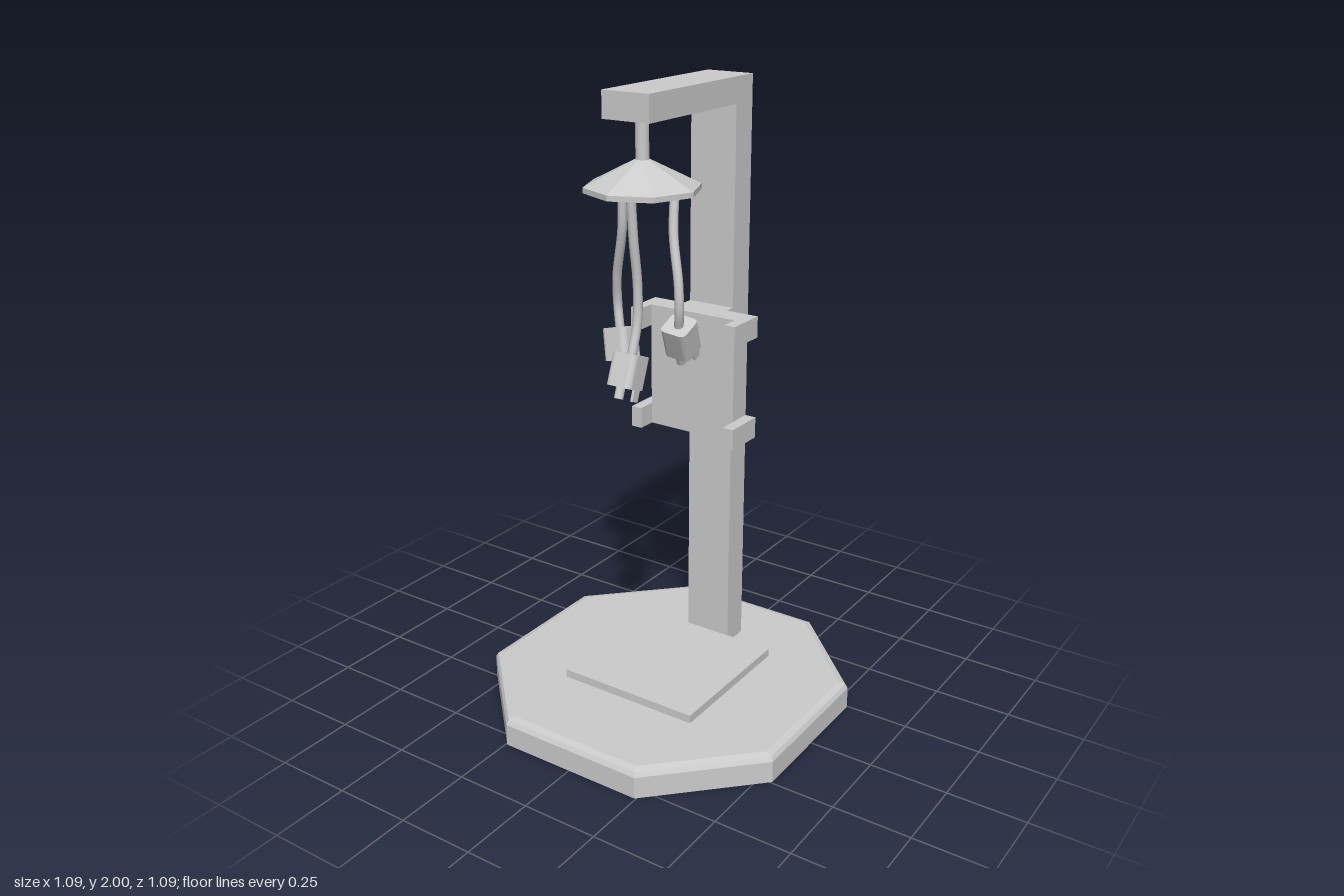
import * as THREE from 'three';
import { ConvexGeometry } from 'three/addons/geometries/ConvexGeometry.js';

const grey = new THREE.MeshStandardMaterial({ color: 0xcccccc });
const flat = new THREE.MeshStandardMaterial({ color: 0xcccccc, flatShading: true });
const V = (x, y, z) => new THREE.Vector3(x, y, z);

function add(parent, name, geometry, material = grey) {
  const mesh = new THREE.Mesh(geometry, material);
  mesh.name = name;
  parent.add(mesh);
  return mesh;
}

// Box given by its minimum and maximum on each axis
function box(parent, name, [x0, x1], [y0, y1], [z0, z1]) {
  const mesh = add(parent, name, new THREE.BoxGeometry(x1 - x0, y1 - y0, z1 - z0));
  mesh.position.set((x0 + x1) / 2, (y0 + y1) / 2, (z0 + z1) / 2);
  return mesh;
}

// Octagonal slab with a rounded upper edge
function baseGeometry() {
  const points = [];
  for (const [y, inset] of [[0, 0], [0.072, 0], [0.086, 0.008], [0.093, 0.028]]) {
    const h = 0.543 - inset, c = 0.245 - 0.414 * inset;
    for (const sx of [-1, 1]) for (const sz of [-1, 1]) {
      points.push(V(sx * h, y, sz * c), V(sx * c, y, sz * h));
    }
  }
  return new ConvexGeometry(points);
}

// Plug body hanging down from its origin, with two blades and a round pin
function makePlug() {
  const plug = new THREE.Group();
  plug.name = 'plug';
  const w = 0.043, r = 0.018, length = 0.1;
  const s = new THREE.Shape();
  s.moveTo(-w + r, -w);
  s.lineTo(w - r, -w);
  s.absarc(w - r, -w + r, r, -Math.PI / 2, 0);
  s.absarc(w - r, w - r, r, 0, Math.PI / 2);
  s.absarc(-w + r, w - r, r, Math.PI / 2, Math.PI);
  s.absarc(-w + r, -w + r, r, Math.PI, Math.PI * 1.5);
  const body = new THREE.ExtrudeGeometry(s, { depth: length, bevelEnabled: false, curveSegments: 5 });
  body.rotateX(Math.PI / 2);
  add(plug, 'plugBody', body);
  for (const side of [-1, 1]) {
    box(plug, 'plugBlade', [side * 0.028 - 0.004, side * 0.028 + 0.004],
      [-length - 0.036, -length + 0.005], [-0.034, -0.006]);
  }
  const pin = add(plug, 'plugPin', new THREE.CylinderGeometry(0.014, 0.014, 0.036, 16));
  pin.position.set(0, -length - 0.016, 0.02);
  return plug;
}

export function createModel() {
  const model = new THREE.Group();
  model.name = 'cableStand';

  // Base, platform, post and overhanging arm
  add(model, 'base', baseGeometry(), flat);
  box(model, 'platform', [-0.243, 0.243], [0.09, 0.12], [-0.245, 0.24]);
  box(model, 'post', [-0.08, 0.08], [0.09, 1.92], [-0.335, -0.243]);
  box(model, 'arm', [-0.08, 0.08], [1.92, 2], [-0.335, 0.212]);

  // Holder: back plate with four corner clips
  const holder = new THREE.Group();
  holder.name = 'holder';
  model.add(holder);
  box(holder, 'holderMount', [-0.08, 0.08], [0.89, 1.29], [-0.245, -0.205]);
  box(holder, 'holderPlate', [-0.154, 0.154], [0.89, 1.29], [-0.208, -0.132]);
  for (const side of [-1, 1]) {
    for (const y of [0.89, 1.222]) {
      const clip = box(holder, 'holderClip', [0.154, 0.191], [y, y + 0.068], [-0.208, -0.073]);
      clip.position.x *= side;
    }
  }

  // Hanging rod and eight-sided shade
  const hanger = new THREE.Group();
  hanger.name = 'hanger';
  hanger.position.z = 0.131;
  model.add(hanger);
  add(hanger, 'rod', new THREE.CylinderGeometry(0.02, 0.02, 0.14, 16)).position.y = 1.86;
  add(hanger, 'shade', new THREE.CylinderGeometry(0.022, 0.172, 0.075, 8), flat).position.y = 1.767;
  add(hanger, 'shadeRim', new THREE.CylinderGeometry(0.172, 0.172, 0.016, 8), flat).position.y = 1.722;

  // Each cable runs from the shade to a plug aimed along its own direction
  const cables = [
    { path: [[-0.08, 1.72, 0.12], [-0.09, 1.59, 0.108], [-0.135, 1.43, 0.075], [-0.146, 1.34, 0.058], [-0.133, 1.26, 0.065]],
      aim: [0.022, -0.095, 0.018] },
    { path: [[0.02, 1.72, 0.217], [0.018, 1.59, 0.203], [0.016, 1.45, 0.182], [0.014, 1.34, 0.182], [0.012, 1.24, 0.21]],
      aim: [0, -0.1, 0.038] },
    { path: [[0.06, 1.72, 0.055], [0.072, 1.59, 0.08], [0.104, 1.45, 0.102], [0.107, 1.37, 0.102], [0.095, 1.31, 0.086]],
      aim: [-0.012, -0.095, -0.045] },
  ];
  for (const { path, aim } of cables) {
    const curve = new THREE.CatmullRomCurve3(path.map((p) => V(...p)));
    add(model, 'cable', new THREE.TubeGeometry(curve, 32, 0.014, 10));
    const plug = makePlug();
    plug.position.copy(curve.getPoint(1));
    plug.position.y += 0.01;
    plug.quaternion.setFromUnitVectors(V(0, -1, 0), V(...aim).normalize());
    model.add(plug);
  }
  return model;
}
